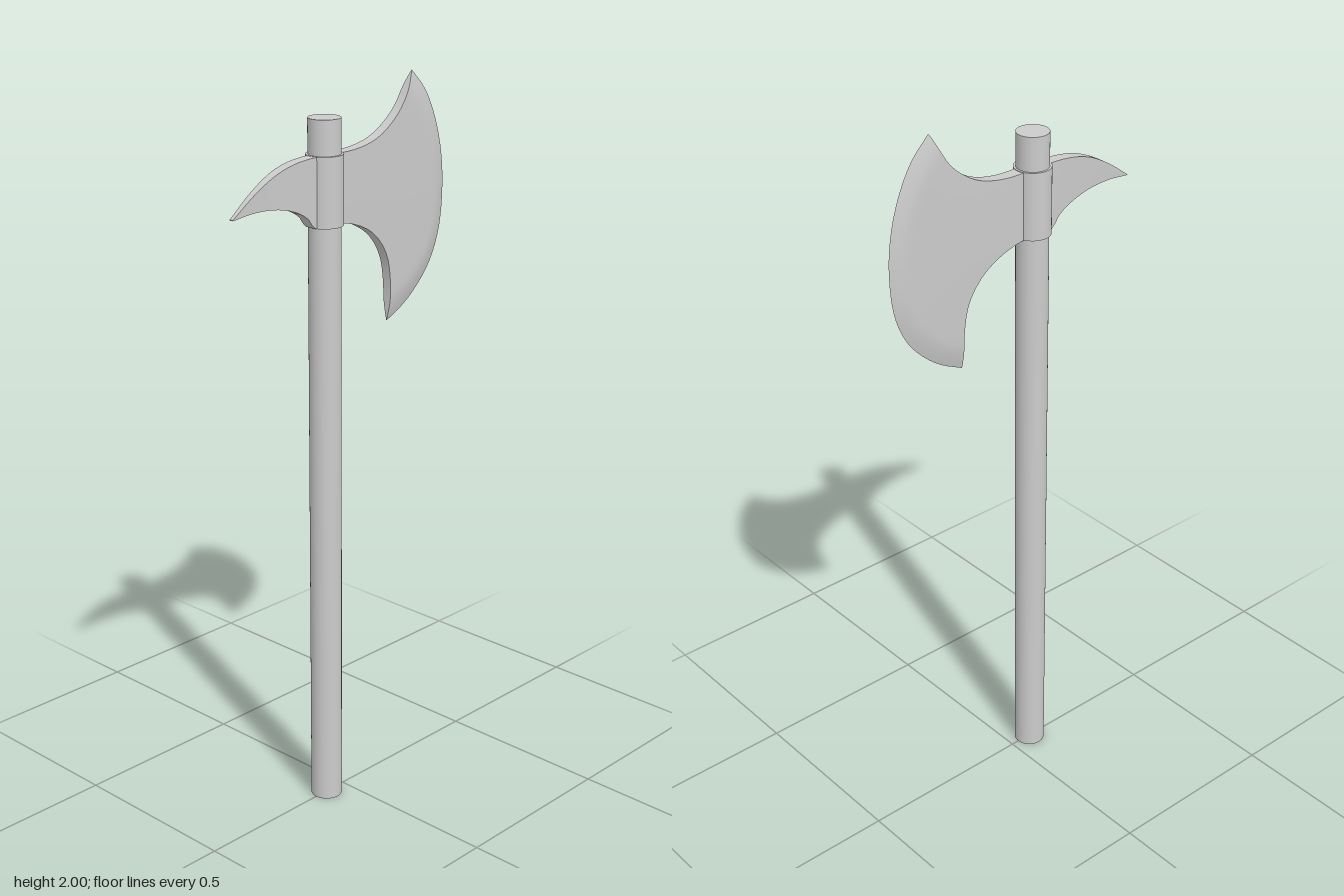
import * as THREE from 'three';
import { toCreasedNormals } from 'three/addons/utils/BufferGeometryUtils.js';

const material = new THREE.MeshStandardMaterial({ color: 0xcccccc });
const SHAFT_Z = 0.066;

// Smooth curve through [z, y] points in the plane x = 0
const curve = (pts) => new THREE.CatmullRomCurve3(pts.map(([z, y]) => new THREE.Vector3(0, y, z)), false, 'centripetal');

// Plate spanning four border curves; top and bottom run outward from the shaft,
// inner and outer run downward. halfWidth(s) gives the thickness from root (0) to end (1).
function plate(top, bottom, inner, outer, columns, halfWidth, flip) {
  const rows = 32;
  const mix = (a, b, t) => a.clone().lerp(b, t);
  const grid = columns.map((s) => {
    const T = top.getPointAt(s), B = bottom.getPointAt(s);
    return Array.from({ length: rows + 1 }, (_, j) => {
      const t = j / rows;
      const L = inner.getPointAt(t), R = outer.getPointAt(t);
      const corners = mix(mix(top.getPointAt(0), top.getPointAt(1), s), mix(bottom.getPointAt(0), bottom.getPointAt(1), s), t);
      return mix(T, B, t).add(mix(L, R, s)).sub(corners);
    });
  });
  const positions = [];
  const at = (i, j, side) => [side * halfWidth(columns[i]), grid[i][j].y, grid[i][j].z];
  const quad = (a, b, c, d, reverse) => {
    const order = reverse !== flip ? [a, c, b, a, d, c] : [a, b, c, a, c, d];
    order.forEach((p) => positions.push(...p));
  };
  for (let i = 0; i < columns.length - 1; i++) {
    // Two cheeks
    for (let j = 0; j < rows; j++) {
      for (const side of [1, -1]) {
        quad(at(i, j, side), at(i + 1, j, side), at(i + 1, j + 1, side), at(i, j + 1, side), side > 0);
      }
    }
    // Upper and lower rims
    for (const j of [0, rows]) {
      quad(at(i, j, 1), at(i + 1, j, 1), at(i + 1, j, -1), at(i, j, -1), j === rows);
    }
  }
  // Outer rim
  const e = columns.length - 1;
  if (halfWidth(1) > 0) {
    for (let j = 0; j < rows; j++) quad(at(e, j, 1), at(e, j + 1, 1), at(e, j + 1, -1), at(e, j, -1), false);
  }
  const geometry = new THREE.BufferGeometry();
  geometry.setAttribute('position', new THREE.Float32BufferAttribute(positions, 3));
  return toCreasedNormals(geometry, 0.6);
}

export function createModel() {
  const model = new THREE.Group();
  const add = (name, geometry, y = 0, z = 0) => {
    const mesh = new THREE.Mesh(geometry, material);
    mesh.name = name;
    mesh.position.set(0, y, z);
    model.add(mesh);
  };

  // Round pole and the sleeve holding the head
  add('shaft', new THREE.CylinderGeometry(0.043, 0.043, 1.92, 40), 0.96, SHAFT_Z);
  add('collar', new THREE.CylinderGeometry(0.049, 0.049, 0.183, 40), 1.737, SHAFT_Z);

  // Crescent blade at the back, bevelled along its outer arc
  const bevel = 0.84;
  const bladeColumns = [...Array.from({ length: 15 }, (_, i) => (i / 14) * bevel), 0.88, 0.92, 0.96, 0.985, 1];
  const bladeWidth = (s) => s <= bevel
    ? 0.018 - 0.005 * s / bevel
    : 0.013 * (1 - ((s - bevel) / (1 - bevel)) ** 1.5);
  add('blade', plate(
    curve([[0.05, 1.828], [-0.02, 1.827], [-0.085, 1.836], [-0.14, 1.857], [-0.206, 1.91], [-0.26, 2]]),
    curve([[0.05, 1.645], [0.01, 1.643], [-0.06, 1.62], [-0.115, 1.583], [-0.155, 1.525], [-0.17, 1.45], [-0.17, 1.342]]),
    curve([[0.05, 1.828], [0.05, 1.645]]),
    curve([[-0.26, 2], [-0.313, 1.945], [-0.355, 1.865], [-0.382, 1.77], [-0.39, 1.67],
      [-0.378, 1.56], [-0.345, 1.48], [-0.3, 1.425], [-0.24, 1.377], [-0.17, 1.342]]),
    bladeColumns, bladeWidth, false));

  // Curved spike at the front, tapering to its tip
  const spikeColumns = Array.from({ length: 19 }, (_, i) => i / 18);
  const spikeWidth = (s) => (s < 0.4 ? 0.018 - 0.0075 * s : 0.015 - 0.0155 * (s - 0.4));
  add('spike', plate(
    curve([[0.08, 1.828], [0.14, 1.827], [0.2, 1.819], [0.255, 1.801], [0.32, 1.765], [0.39, 1.714]]),
    curve([[0.08, 1.645], [0.12, 1.648], [0.14, 1.674], [0.18, 1.698], [0.245, 1.716], [0.32, 1.72], [0.39, 1.712]]),
    curve([[0.08, 1.828], [0.08, 1.645]]),
    curve([[0.39, 1.714], [0.39, 1.712]]),
    spikeColumns, spikeWidth, true));

  return model;
}
